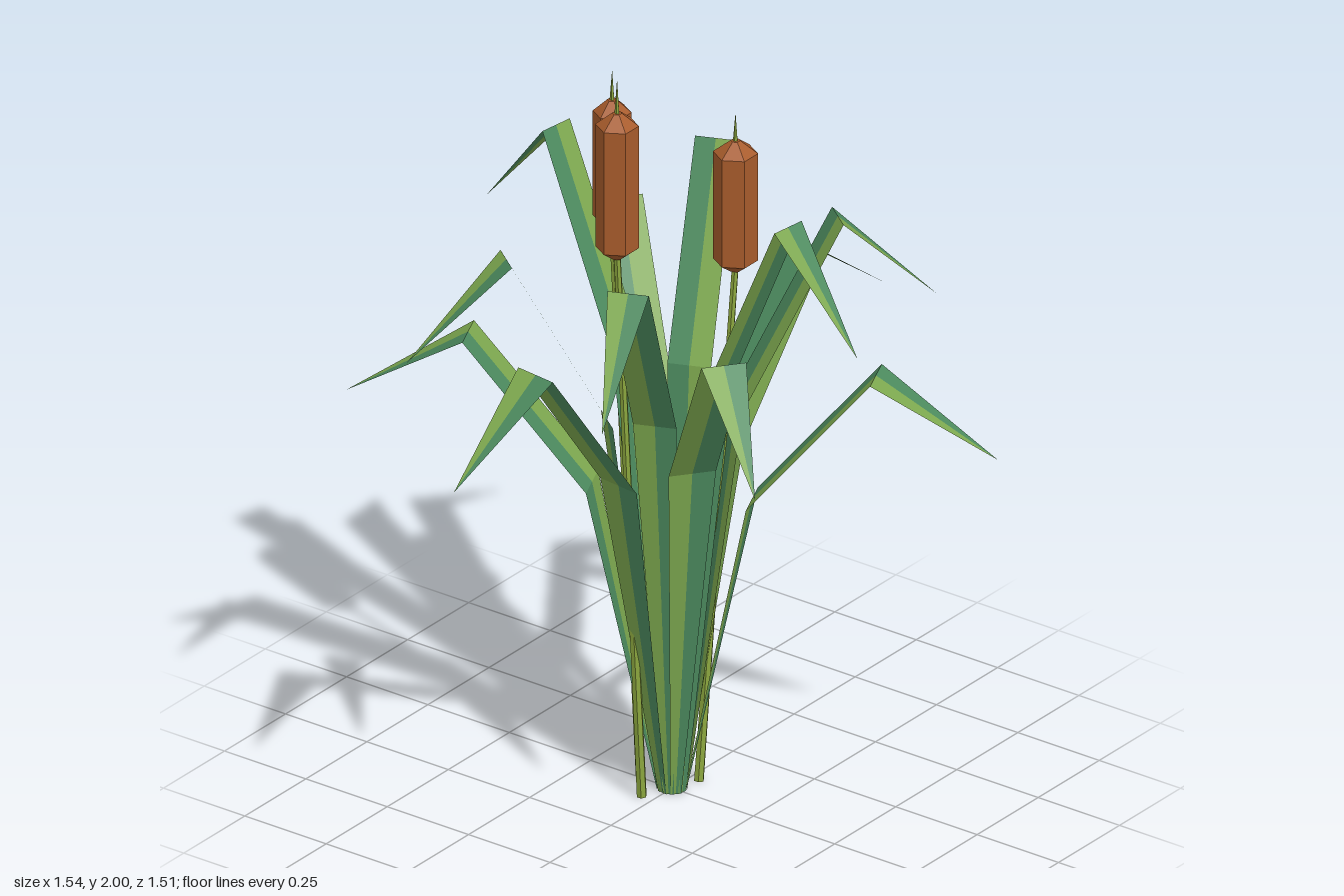
import * as THREE from 'three';

const mat = (color, side = THREE.FrontSide) =>
  new THREE.MeshStandardMaterial({ color, side, flatShading: true });

// One half of a blade along +x, from its midrib out to one edge (side = 1 or -1).
// Each station is [distance out, height, half width].
function halfBlade(stations, side) {
  const pos = [], index = [];
  stations.forEach(([r, y, w], i) => {
    pos.push(r, y, 0, r, y, side * w);
    if (i === 0) return;
    const a = 2 * (i - 1);
    const quad = [a, a + 1, a + 3, a, a + 3, a + 2];
    if (i === stations.length - 1) quad.length = 3; // pointed tip
    index.push(...(side > 0 ? quad : quad.reverse()));
  });
  const g = new THREE.BufferGeometry();
  g.setAttribute('position', new THREE.Float32BufferAttribute(pos, 3));
  g.setIndex(index);
  const flat = g.toNonIndexed();
  flat.computeVertexNormals();
  return flat;
}

export function createModel() {
  const model = new THREE.Group();
  model.name = 'reedPlant';

  const lightGreen = mat(0x7da84f, THREE.DoubleSide);
  const coolGreen = mat(0x4c8a5e, THREE.DoubleSide);
  const stemGreen = mat(0x8ba53e);
  const brown = mat(0xa85c2c);

  // Six blade shapes, each repeated on the opposite side: [tip x, tip z, knee height]
  const blades = [
    [0.33, 0.755, 1.2],
    [0.54, 0.41, 1.52],
    [0.77, 0.093, 1.32],
    [0.64, -0.265, 1.58],
    [0.46, -0.6, 1.4],
    [0.08, -0.63, 1.69],
  ];
  const leaves = new THREE.Group();
  leaves.name = 'leaves';
  model.add(leaves);
  for (const [x, z, knee] of blades) {
    const reach = Math.hypot(x, z);
    const stations = [
      [0.035, 0, 0.014],
      [0.245 * reach, 0.685 * knee, 0.08 * reach],
      [0.625 * reach, knee, 0.076 * reach],
      [reach, 0.835 * knee, 0],
    ];
    const warmHalf = halfBlade(stations, 1), coolHalf = halfBlade(stations, -1);
    for (const turn of [0, Math.PI]) {
      const leaf = new THREE.Group();
      leaf.name = 'leaf';
      const a = new THREE.Mesh(warmHalf, lightGreen);
      a.name = 'leafLightHalf';
      const b = new THREE.Mesh(coolHalf, coolGreen);
      b.name = 'leafDarkHalf';
      leaf.add(a, b);
      leaf.rotation.y = -Math.atan2(z, x) + turn;
      leaves.add(leaf);
    }
  }

  // Seed heads on leaning stems: base x/z, head x/z, head bottom and top, spike tip, radius
  const reeds = [
    { base: [-0.08, -0.033], head: [-0.145, -0.06], low: 1.505, high: 1.905, tip: 2.0, r: 0.054 },
    { base: [0.005, -0.1], head: [0.012, -0.193], low: 1.485, high: 1.837, tip: 1.92, r: 0.048 },
    { base: [0.073, 0.028], head: [0.18, 0.06], low: 1.375, high: 1.733, tip: 1.81, r: 0.056 },
  ];
  const up = new THREE.Vector3(0, 1, 0);
  for (const { base, head, low, high, tip, r } of reeds) {
    const reed = new THREE.Group();
    reed.name = 'reed';
    model.add(reed);

    // Leaning stem
    const from = new THREE.Vector3(base[0], 0, base[1]);
    const to = new THREE.Vector3(head[0], low + 0.02, head[1]);
    const dir = to.clone().sub(from);
    const stem = new THREE.Mesh(new THREE.CylinderGeometry(0.009, 0.013, dir.length(), 6), stemGreen);
    stem.name = 'stem';
    stem.position.copy(from).lerp(to, 0.5);
    stem.quaternion.setFromUnitVectors(up, dir.normalize());

    // Six-sided seed head with bevelled ends
    const profile = [[0, low], [0.014, low], [r, low + 0.03], [r, high - 0.033], [0.012, high], [0, high]];
    const seed = new THREE.Mesh(
      new THREE.LatheGeometry(profile.map(([px, py]) => new THREE.Vector2(px, py)), 6, Math.PI / 6 * 3), brown);
    seed.name = 'seedHead';
    seed.position.set(head[0], 0, head[1]);

    // Thin spike on top
    const spike = new THREE.Mesh(new THREE.ConeGeometry(0.007, tip - high + 0.01, 5), stemGreen);
    spike.name = 'spike';
    spike.position.set(head[0], (tip + high - 0.01) / 2, head[1]);

    reed.add(stem, seed, spike);
  }
  return model;
}
